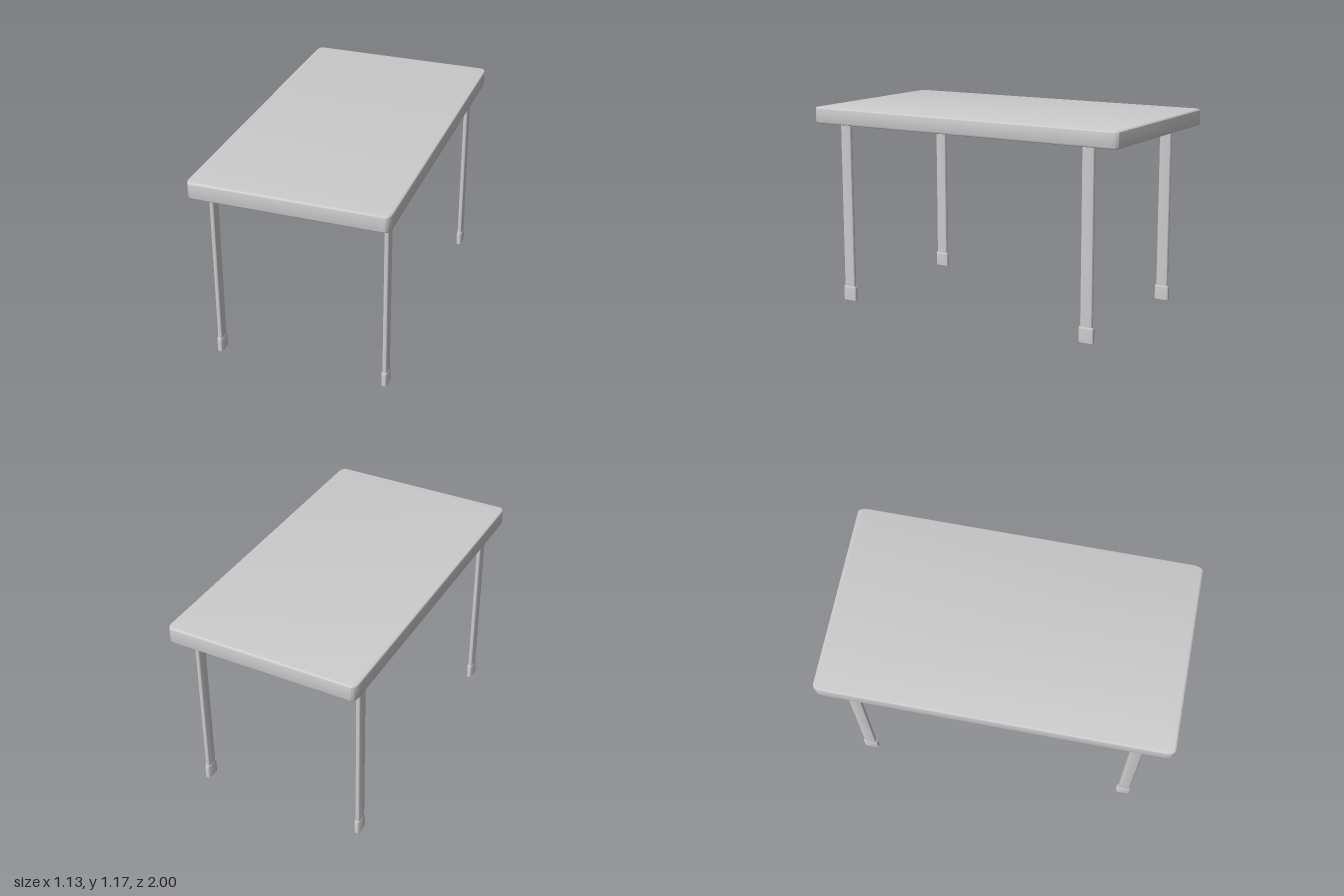
import * as THREE from 'three';
import { toCreasedNormals } from 'three/addons/utils/BufferGeometryUtils.js';

const material = new THREE.MeshStandardMaterial({ color: 0xcccccc });

// Slab with rounded plan corners and a small bevel along top and bottom edges
function slabGeometry(hw, hd, rx, rz, bottom, top, bevel) {
  const s = new THREE.Shape();
  s.moveTo(-hw + rx, -hd);
  s.lineTo(hw - rx, -hd);
  s.absellipse(hw - rx, -hd + rz, rx, rz, -Math.PI / 2, 0);
  s.lineTo(hw, hd - rz);
  s.absellipse(hw - rx, hd - rz, rx, rz, 0, Math.PI / 2);
  s.lineTo(-hw + rx, hd);
  s.absellipse(-hw + rx, hd - rz, rx, rz, Math.PI / 2, Math.PI);
  s.lineTo(-hw, -hd + rz);
  s.absellipse(-hw + rx, -hd + rz, rx, rz, Math.PI, Math.PI * 1.5);
  const geo = new THREE.ExtrudeGeometry(s, {
    depth: top - bottom - 2 * bevel, curveSegments: 8,
    bevelThickness: bevel, bevelSize: bevel, bevelOffset: -bevel, bevelSegments: 3,
  });
  geo.rotateX(-Math.PI / 2);
  geo.translate(0, bottom + bevel, 0);
  return toCreasedNormals(geo, 0.6);
}

// Upright with a flat-sided oval section: a lathe split apart along z
function ovalGeometry(profile, stretch) {
  const n = 24;
  const points = profile.map(([r, y]) => new THREE.Vector2(Math.max(r, 0.0001), y));
  const geo = new THREE.LatheGeometry(points, n, Math.PI / n);
  const pos = geo.attributes.position;
  for (let i = 0; i < pos.count; i++) {
    const z = pos.getZ(i);
    pos.setZ(i, z + Math.sign(z) * stretch);
  }
  return toCreasedNormals(geo, 0.6);
}

export function createModel() {
  const table = new THREE.Group();
  table.name = 'table';

  const add = (parent, name, geometry) => {
    const mesh = new THREE.Mesh(geometry, material);
    mesh.name = name;
    parent.add(mesh);
  };

  add(table, 'tabletop', slabGeometry(0.563, 1, 0.03, 0.055, 1.075, 1.17, 0.01));

  // Four legs, each with a thicker foot cap
  const legGeo = ovalGeometry([[0, 0.04], [0.0135, 0.04], [0.0135, 1.08], [0, 1.08]], 0.024);
  const footGeo = ovalGeometry(
    [[0, 0], [0.017, 0], [0.017, 0.075], [0.0162, 0.081], [0.0135, 0.087], [0, 0.087]], 0.0285);
  for (const [zName, z] of [['front', 0.805], ['back', -0.805]]) {
    for (const [xName, x] of [['Left', 0.496], ['Right', -0.496]]) {
      const leg = new THREE.Group();
      leg.name = `${zName}${xName}Leg`;
      leg.position.set(x, 0, z);
      add(leg, 'legTube', legGeo);
      add(leg, 'footCap', footGeo);
      table.add(leg);
    }
  }
  return table;
}
